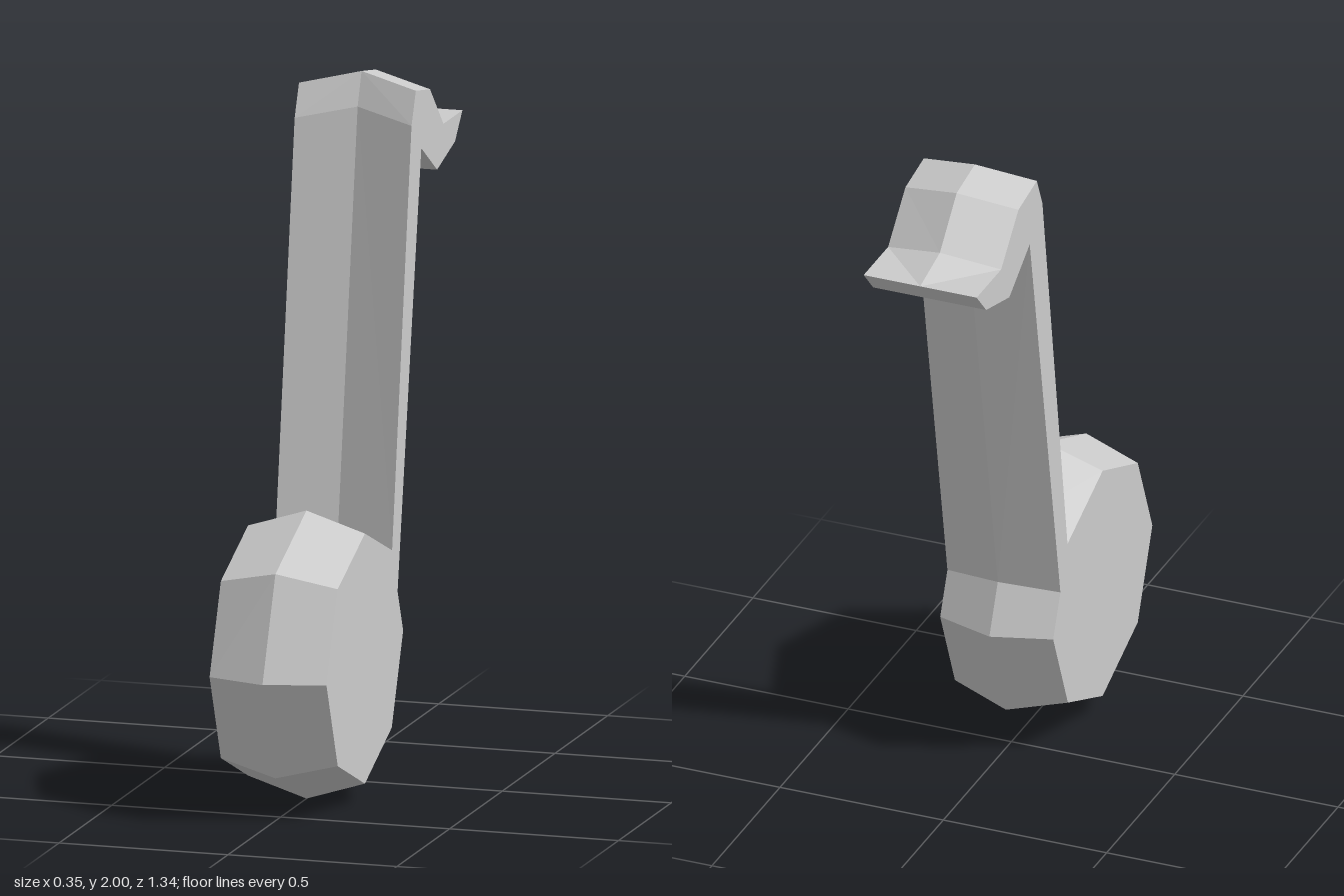
import * as THREE from 'three';

const HALF = 0.173;

// Outline corners: [z, y] on the flat flanks, then [z, y] on the middle ridge
const OUTLINE = [
  [0.255, 0.785, 0.255, 0.84],   // 0 round body
  [0.513, 0.68, 0.55, 0.72],
  [0.62, 0.425, 0.673, 0.425],
  [0.513, 0.167, 0.55, 0.128],
  [0.255, 0.06, 0.255, 0.005],
  [0, 0.167, -0.04, 0.128],
  [-0.108, 0.425, -0.162, 0.425],
  [-0.055, 0.55, -0.1, 0.57],    // 7 back foot of the neck
  [-0.28, 1.785, -0.315, 1.765], // 8 throat
  [-0.43, 1.69, -0.43, 1.69],
  [-0.6, 1.735, -0.6, 1.735],
  [-0.67, 1.81, -0.67, 1.81],    // 11 beak tip
  [-0.49, 1.81, -0.525, 1.845],
  [-0.363, 1.938, -0.402, 1.975],
  [-0.228, 1.963, -0.268, 2.0],
  [-0.187, 1.87, -0.23, 1.905],  // 15 top front of the neck
  [-0.003, 0.68, -0.045, 0.72],  // 16 front foot of the neck
];

// Corner numbers of each part, counter-clockwise seen from +x
const PARTS = {
  body: [16, 0, 1, 2, 3, 4, 5, 6, 7],
  neck: [7, 8, 15, 16],
  head: [8, 9, 10, 11, 12, 13, 14, 15],
};

function buildPart(ids) {
  const pos = [];
  const flank = (i, s) => [s * HALF, OUTLINE[i][1], OUTLINE[i][0]];
  const ridge = (i) => [0, OUTLINE[i][3], OUTLINE[i][2]];
  const contour = ids.map((i) => new THREE.Vector2(-OUTLINE[i][0], OUTLINE[i][1]));
  const faces = THREE.ShapeUtils.triangulateShape(contour, []);

  for (const s of [1, -1]) {
    const tri = (a, b, c) => pos.push(...(s > 0 ? [a, b, c] : [a, c, b]).flat());
    // flat flank
    for (const f of faces) tri(...f.map((k) => flank(ids[k], s)));
    // rim running from the flank to the middle ridge, open where parts join
    ids.forEach((i, k) => {
      const j = ids[(k + 1) % ids.length];
      if (j !== (i + 1) % OUTLINE.length) return;
      tri(flank(j, s), flank(i, s), ridge(i));
      tri(flank(j, s), ridge(i), ridge(j));
    });
  }

  const geometry = new THREE.BufferGeometry();
  geometry.setAttribute('position', new THREE.Float32BufferAttribute(pos, 3));
  geometry.computeVertexNormals();
  return geometry;
}

export function createModel() {
  const model = new THREE.Group();
  model.name = 'longNeckedBird';
  const material = new THREE.MeshStandardMaterial({ color: 0xcccccc, flatShading: true });
  for (const [name, ids] of Object.entries(PARTS)) {
    const mesh = new THREE.Mesh(buildPart(ids), material);
    mesh.name = name;
    model.add(mesh);
  }
  return model;
}
